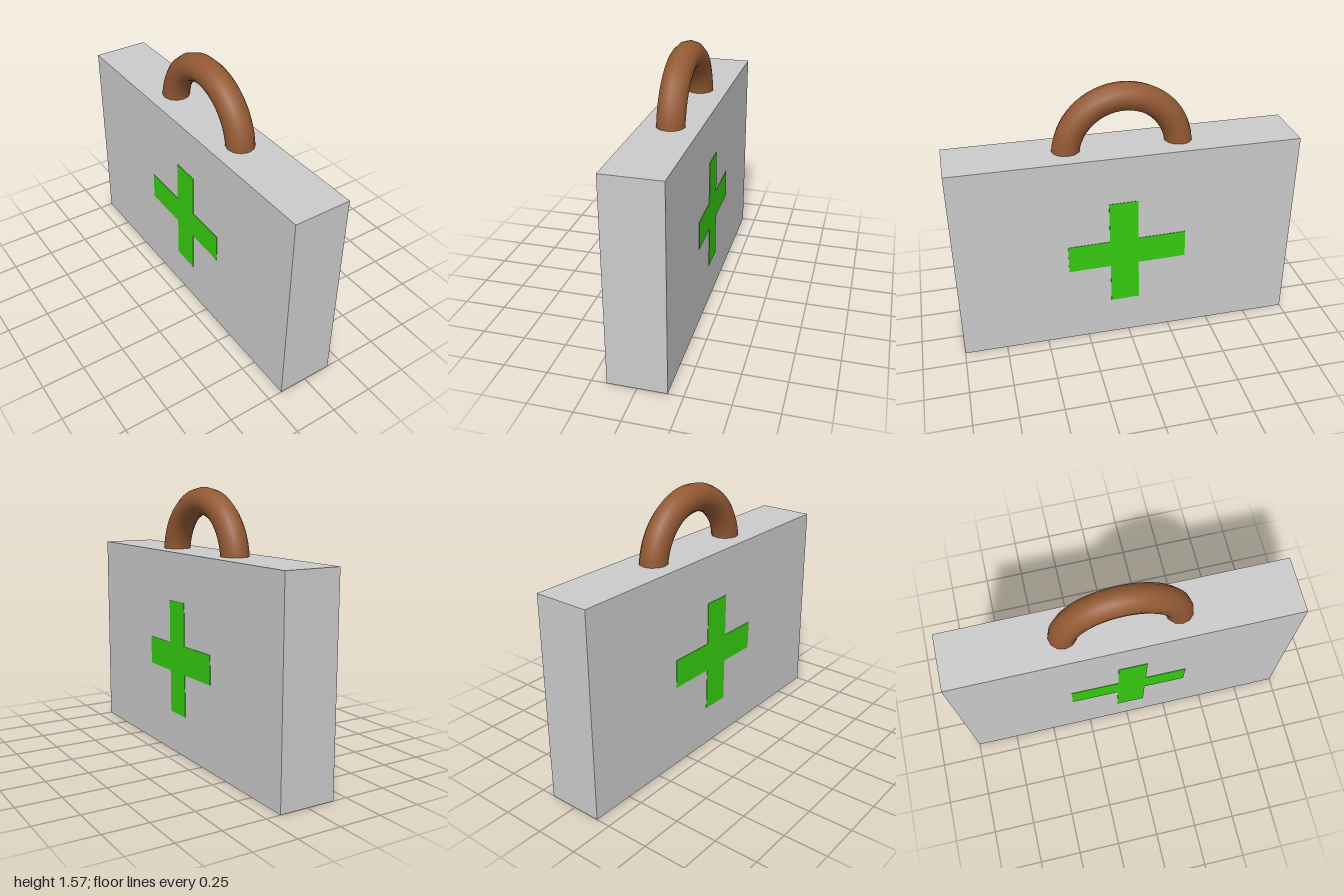
import * as THREE from 'three';

const BODY_W = 0.33, BODY_H = 1.195, BODY_L = 2;

const material = (color) => new THREE.MeshStandardMaterial({ color });

function addMesh(parent, name, geometry, mat) {
  const mesh = new THREE.Mesh(geometry, mat);
  mesh.name = name;
  parent.add(mesh);
  return mesh;
}

// Plus-shaped outline; the upright sits slightly off the middle of the bar
function crossShape() {
  const arm = 0.084, barL = -0.337, barR = 0.358, up = 0.335, shift = -0.008;
  const l = shift - arm, r = shift + arm;
  return new THREE.Shape([
    [l, -up], [r, -up], [r, -arm], [barR, -arm], [barR, arm], [r, arm],
    [r, up], [l, up], [l, arm], [barL, arm], [barL, -arm], [l, -arm],
  ].map(([x, y]) => new THREE.Vector2(x, y)));
}

export function createModel() {
  const group = new THREE.Group();
  group.name = 'firstAidCase';

  // Plain box case
  const body = addMesh(group, 'caseBody', new THREE.BoxGeometry(BODY_W, BODY_H, BODY_L), material(0xcccccc));
  body.position.y = BODY_H / 2;

  // Arched handle, its ends sunk into the lid
  const handle = addMesh(group, 'handle', new THREE.TorusGeometry(0.325, 0.08, 12, 32, Math.PI), material(0x945a34));
  handle.rotation.y = Math.PI / 2;
  handle.position.y = 1.16;

  // Thin cross on each broad side, tilted a touch
  const depth = 0.006;
  const crossGeometry = new THREE.ExtrudeGeometry(crossShape(), { depth, bevelEnabled: false });
  crossGeometry.translate(-0.011, 0, -depth / 2);
  crossGeometry.rotateY(Math.PI / 2);
  const green = material(0x36cc11);
  for (const side of [1, -1]) {
    const cross = addMesh(group, side > 0 ? 'leftCross' : 'rightCross', crossGeometry, green);
    cross.position.set(side * BODY_W / 2, 0.578, 0.008);
    cross.rotation.x = 0.016;
  }

  return group;
}
